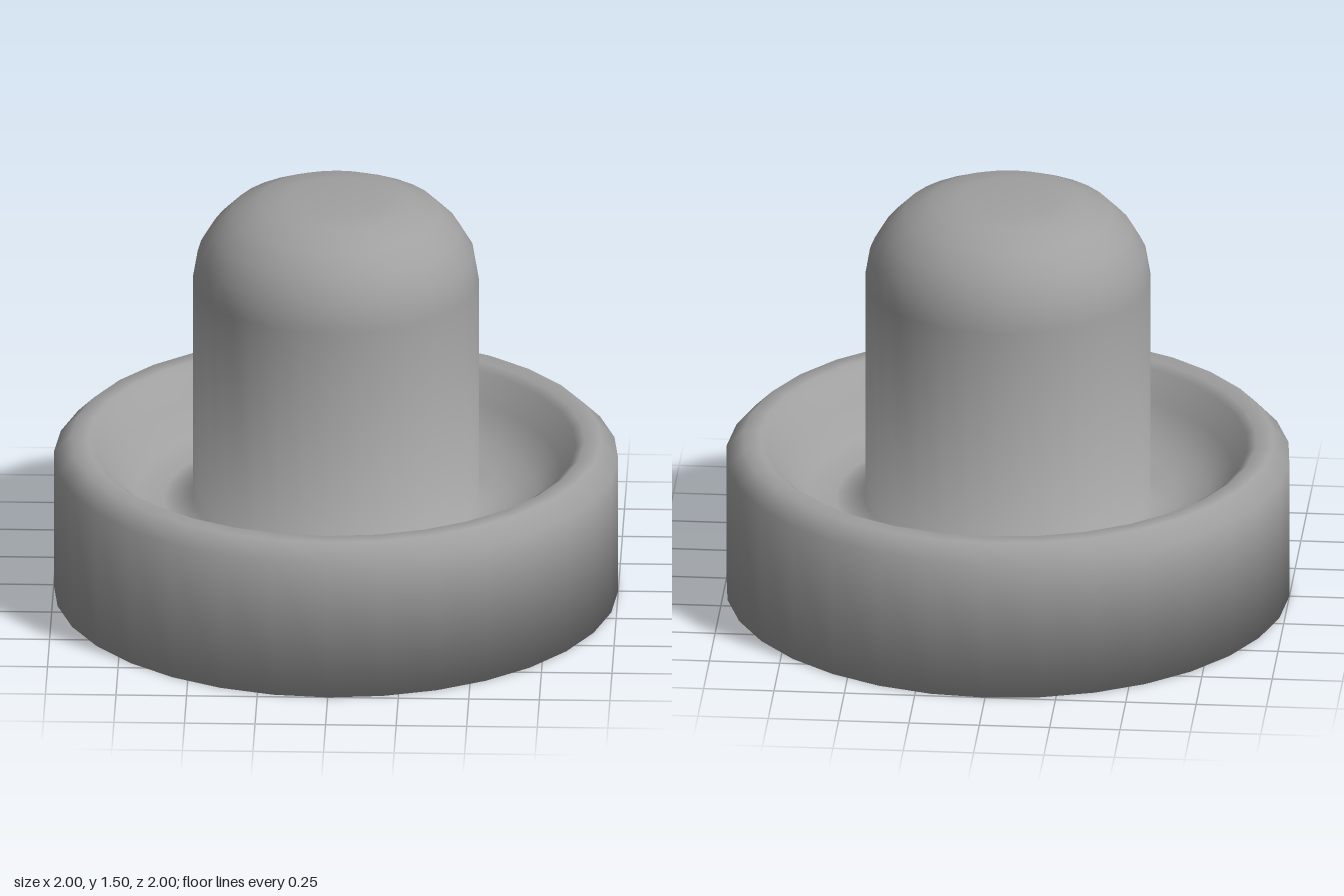
import * as THREE from 'three';

const SEGMENTS = 32;
const material = new THREE.MeshStandardMaterial({ color: 0xa0a0a0 });

// Soft turned part from [radius, height] pairs, listed from the bottom up.
// Each ring's normal weighs the two neighbouring bands equally, so all edges shade softly.
function turned(name, profile) {
  const points = profile.map(([r, y]) => new THREE.Vector2(r, y));
  const bands = points.slice(1).map((p, j) =>
    new THREE.Vector2(p.y - points[j].y, points[j].x - p.x).normalize());
  const ringNormals = points.map((p, j) => {
    const below = bands[Math.max(j - 1, 0)];
    const above = bands[Math.min(j, bands.length - 1)];
    return below.clone().add(above).normalize();
  });

  const geometry = new THREE.LatheGeometry(points, SEGMENTS);
  const normals = geometry.attributes.normal;
  for (let i = 0; i <= SEGMENTS; i++) {
    const angle = (i / SEGMENTS) * Math.PI * 2;
    ringNormals.forEach((n, j) => normals.setXYZ(
      i * points.length + j, n.x * Math.sin(angle), n.y, n.x * Math.cos(angle)));
  }

  const mesh = new THREE.Mesh(geometry, material);
  mesh.name = name;
  return mesh;
}

export function createModel() {
  const group = new THREE.Group();
  group.name = 'dishWithPost';

  // One continuous surface: base, rounded rim, hollow dish, then the domed post
  group.add(turned('dishAndPost', [
    // underside and outer wall
    [0, 0], [0.9, 0], [1, 0], [1, 0.51],
    // rim
    [0.94, 0.57], [0.88, 0.57], [0.85, 0.55],
    // hollow
    [0.8, 0.45], [0.71, 0.375], [0.61, 0.345],
    // post
    [0.507, 0.345], [0.507, 1.19],
    // domed top
    [0.49, 1.29], [0.44, 1.375], [0.37, 1.445], [0.27, 1.49], [0.17, 1.505], [0, 1.505],
  ]));

  return group;
}
